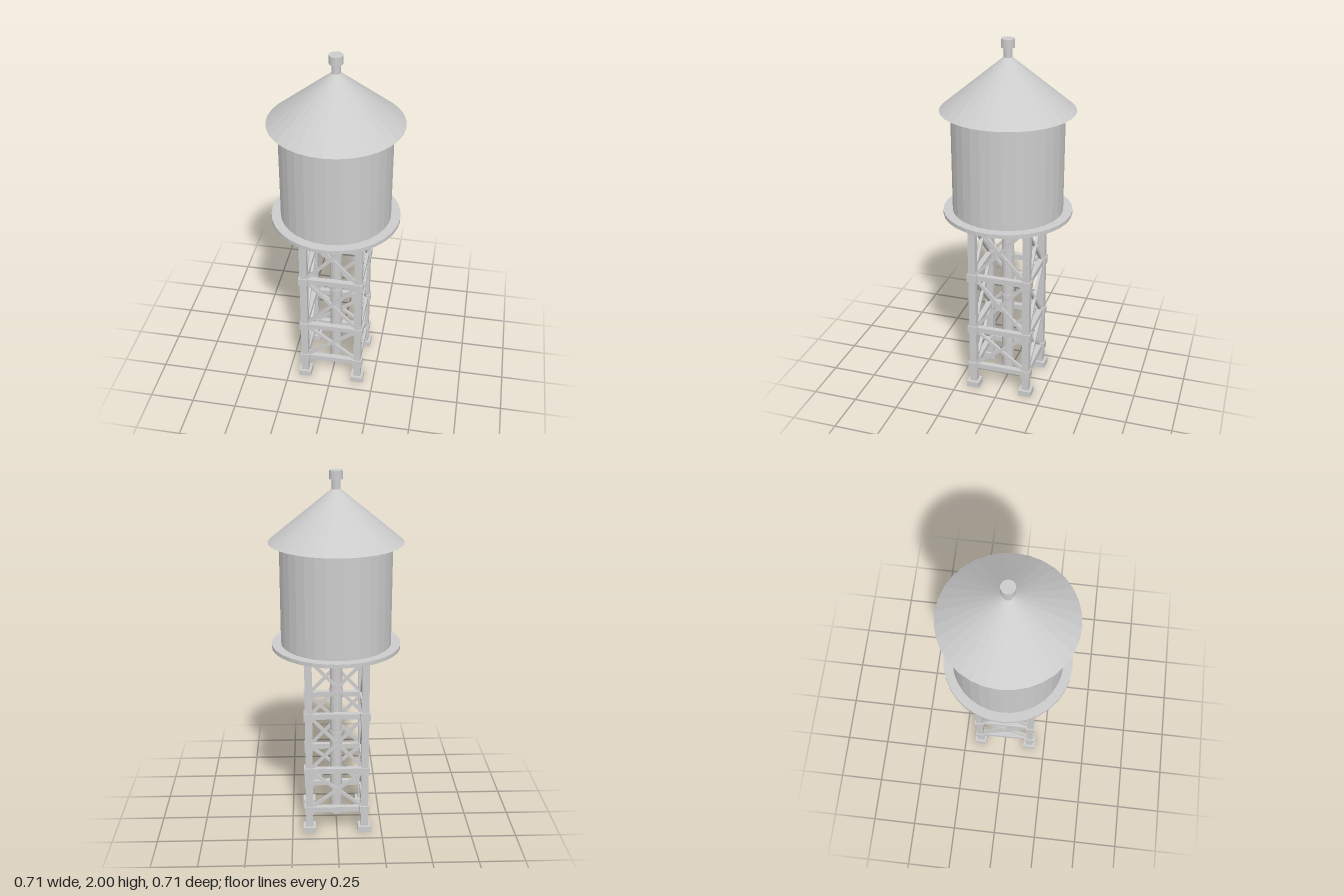
import * as THREE from 'three';

const mat = new THREE.MeshStandardMaterial({ color: 0xcccccc, flatShading: true });
const LEG = 0.154;                          // leg offset from the axis
const LEVELS = [0.137, 0.378, 0.707, 1.036]; // heights of the horizontal frames

function add(parent, name, geometry, x = 0, y = 0, z = 0) {
  const mesh = new THREE.Mesh(geometry, mat);
  mesh.name = name;
  mesh.position.set(x, y, z);
  parent.add(mesh);
  return mesh;
}

// Upright round part between two heights
function round(parent, name, rTop, rBottom, y0, y1, sides) {
  return add(parent, name, new THREE.CylinderGeometry(rTop, rBottom, y1 - y0, sides), 0, (y0 + y1) / 2, 0);
}

// Square bar between two points of one tower face
function bar(parent, name, x0, y0, x1, y1, z, height, depth) {
  const length = Math.hypot(x1 - x0, y1 - y0);
  const mesh = add(parent, name, new THREE.BoxGeometry(length, height, depth), (x0 + x1) / 2, (y0 + y1) / 2, z);
  mesh.rotation.z = Math.atan2(y1 - y0, x1 - x0);
}

export function createModel() {
  const model = new THREE.Group();
  model.name = 'waterTower';

  // Tank, platform, roof and vent
  round(model, 'platform', 0.348, 0.348, 1.058, 1.079, 32);
  round(model, 'tank', 0.298, 0.298, 1.079, 1.634, 32);
  add(model, 'roof', new THREE.ConeGeometry(0.356, 0.292, 32), 0, 1.778, 0);
  round(model, 'ventNeck', 0.023, 0.023, 1.89, 1.957, 16);
  round(model, 'ventCap', 0.036, 0.036, 1.955, 2, 24);

  // Central pipe with its clamps
  round(model, 'centralPipe', 0.034, 0.034, 0.028, 1.06, 16);
  for (const y of [0.545, 0.803]) round(model, 'pipeClamp', 0.038, 0.038, y - 0.006, y + 0.006, 16);

  // Four legs with footings and joint collars
  for (const sx of [-1, 1]) for (const sz of [-1, 1]) {
    const leg = new THREE.Group();
    leg.name = 'leg';
    leg.position.set(sx * LEG, 0, sz * LEG);
    add(leg, 'legPost', new THREE.BoxGeometry(0.04, 1.04, 0.04), 0, 0.54, 0);
    add(leg, 'footing', new THREE.BoxGeometry(0.072, 0.034, 0.072), 0, 0.017, 0);
    for (const y of LEVELS) add(leg, 'jointCollar', new THREE.BoxGeometry(0.054, 0.044, 0.054), 0, y, 0);
    model.add(leg);
  }

  // Four faces of horizontal beams and crossed braces
  for (let i = 0; i < 4; i++) {
    const face = new THREE.Group();
    face.name = 'towerFace';
    face.rotation.y = i * Math.PI / 2;
    LEVELS.forEach((y, k) => {
      bar(face, 'beam', -LEG, y, LEG, y, LEG, 0.03, 0.03);
      if (k === LEVELS.length - 1) return;
      const low = y + 0.01, high = LEVELS[k + 1] - 0.01;
      for (const s of [-1, 1]) bar(face, 'brace', -s * 0.145, low, s * 0.145, high, LEG + s * 0.004, 0.016, 0.016);
    });
    model.add(face);
  }
  return model;
}
